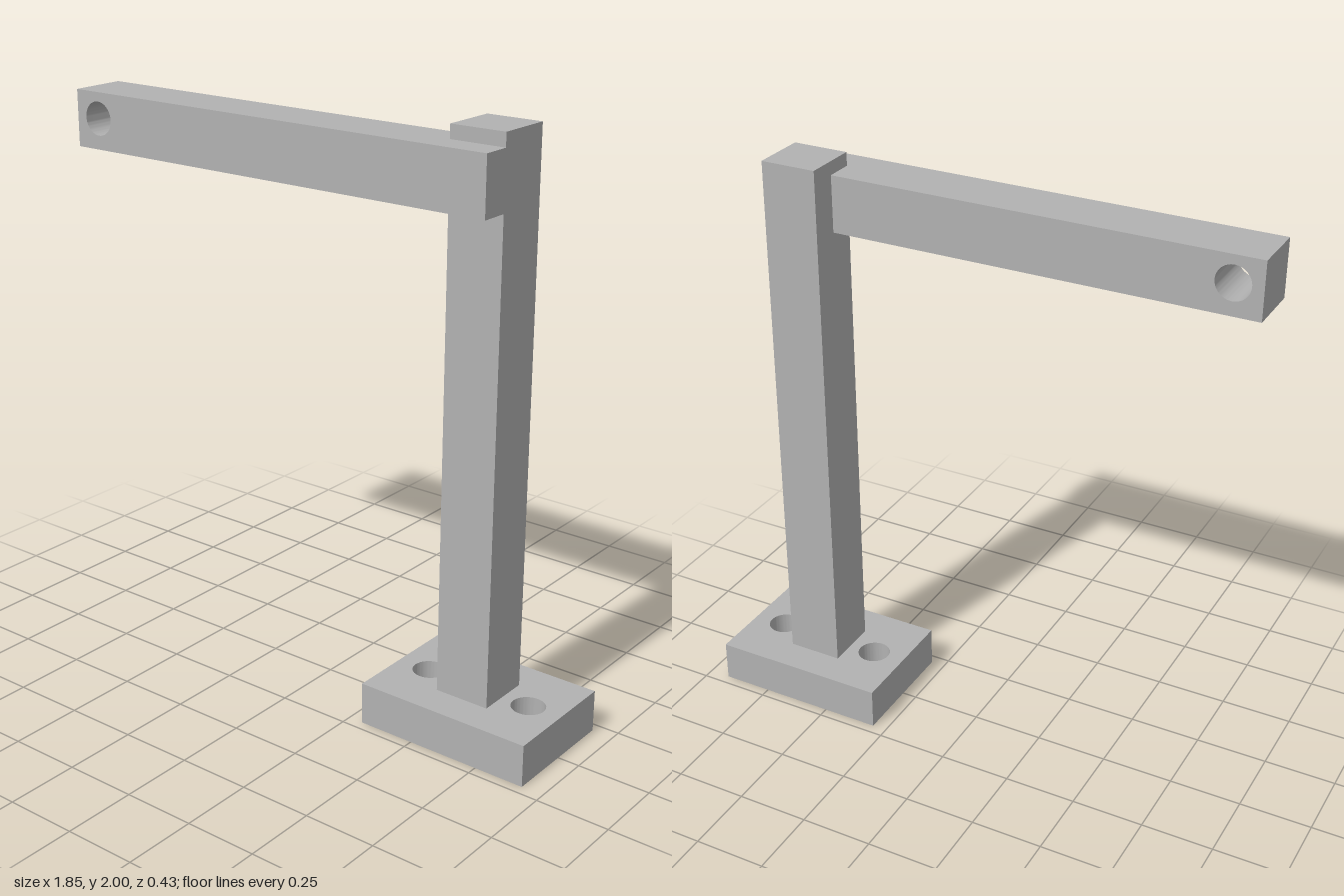
import * as THREE from 'three';
import { toCreasedNormals } from 'three/addons/utils/BufferGeometryUtils.js';

// Rectangular bar of w x h, extruded along +z by depth, pierced by round holes [x, y]
function drilledBar(w, h, depth, holes, radius) {
  const shape = new THREE.Shape([
    new THREE.Vector2(-w / 2, -h / 2),
    new THREE.Vector2(w / 2, -h / 2),
    new THREE.Vector2(w / 2, h / 2),
    new THREE.Vector2(-w / 2, h / 2),
  ]);
  for (const [x, y] of holes) {
    shape.holes.push(new THREE.Path().absarc(x, y, radius, 0, Math.PI * 2, true));
  }
  const geometry = new THREE.ExtrudeGeometry(shape, { depth, bevelEnabled: false, curveSegments: 32 });
  return toCreasedNormals(geometry, Math.PI / 6);
}

export function createModel() {
  const model = new THREE.Group();
  model.name = 'bracketStand';

  const grey = new THREE.MeshStandardMaterial({ color: 0xb2b2b2 });
  grey.name = 'grey';

  const add = (name, geometry, x, y, z) => {
    const mesh = new THREE.Mesh(geometry, grey);
    mesh.name = name;
    mesh.position.set(x, y, z);
    model.add(mesh);
    return mesh;
  };

  const holeRadius = 0.057;
  const baseX = 0.613;
  const baseHeight = 0.145;
  const bar = 0.193; // square section shared by post and arm

  // Base plate with two vertical screw holes
  const base = drilledBar(0.623, 0.43, baseHeight, [[-0.193, 0], [0.193, 0]], holeRadius);
  base.rotateX(-Math.PI / 2);
  add('basePlate', base, baseX, 0, 0);

  // Upright post
  const postHeight = 2 - baseHeight;
  add('post', new THREE.BoxGeometry(bar, postHeight, bar), baseX, baseHeight + postHeight / 2, 0);

  // Horizontal arm, half lapped into the front of the post, with a hole at its free end
  const armLength = 1.635;
  const arm = drilledBar(armLength, bar, bar, [[-armLength / 2 + 0.095, 0.008]], holeRadius);
  add('arm', arm, baseX + bar / 2 - armLength / 2, 1.858, 0);

  return model;
}
